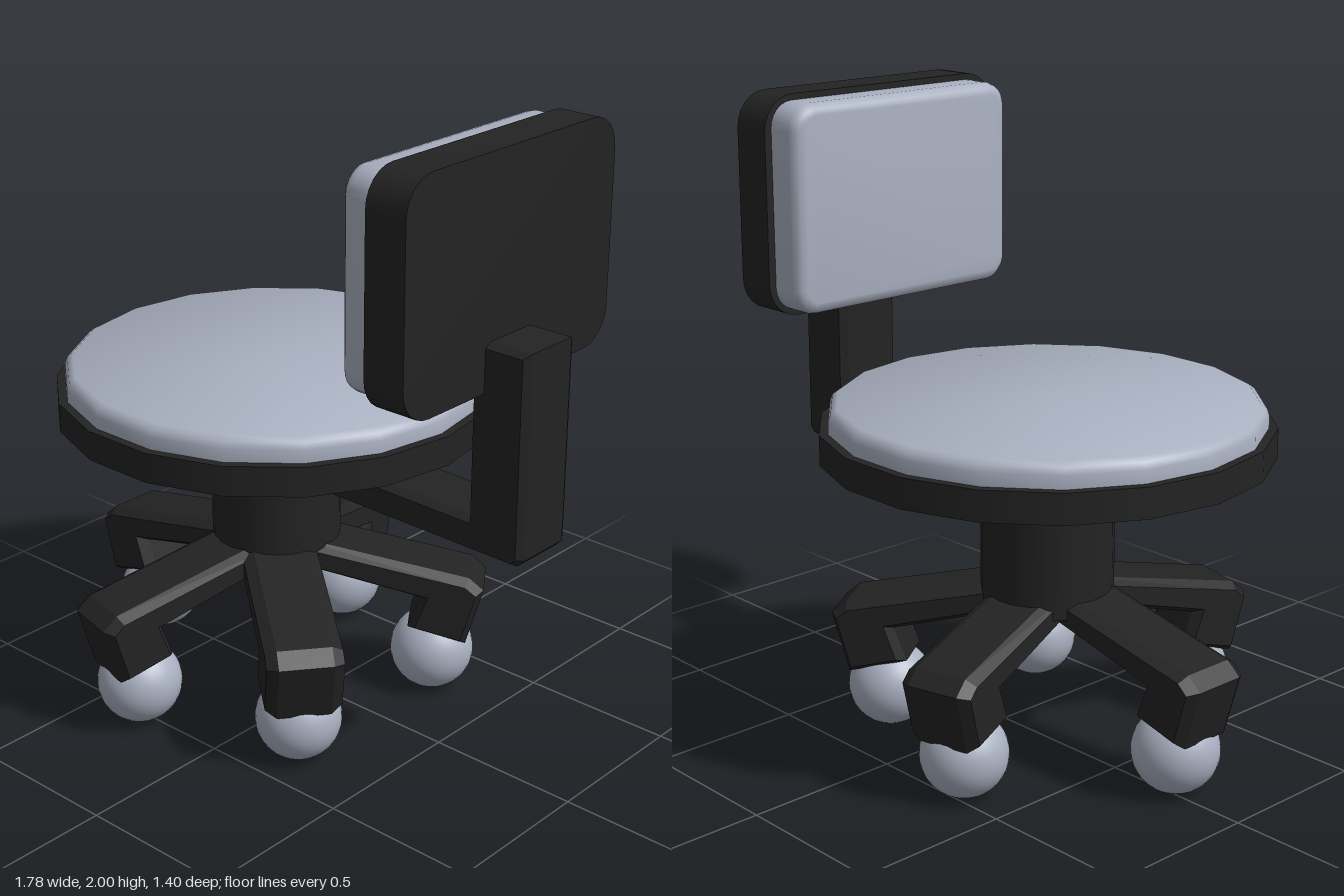
import * as THREE from 'three';
import { toCreasedNormals } from 'three/addons/utils/BufferGeometryUtils.js';

const black = new THREE.MeshStandardMaterial({ color: 0x232323 });
black.name = 'black frame';
const grey = new THREE.MeshStandardMaterial({ color: 0xa9b0c0 });
grey.name = 'blue grey padding';

const SEAT_X = -0.195, SEAT_Z = -0.005, MID_Z = 0.025;

function addMesh(parent, name, geometry, material, x = 0, y = 0, z = 0) {
  const mesh = new THREE.Mesh(geometry, material);
  mesh.name = name;
  mesh.position.set(x, y, z);
  parent.add(mesh);
  return mesh;
}

// Extrude a side profile to a total width centred on z = 0, with bevelled edges
function profileBar(points, width, bevel) {
  const shape = new THREE.Shape(points.map(([x, y]) => new THREE.Vector2(x, y)));
  const geo = new THREE.ExtrudeGeometry(shape, {
    depth: width - 2 * bevel, bevelEnabled: true, bevelSegments: 1,
    bevelSize: bevel * 0.6, bevelOffset: -bevel * 0.6, bevelThickness: bevel,
  });
  return geo.translate(0, 0, bevel - width / 2);
}

// Rounded rectangle slab facing along x, from x = 0 to x = depth
function roundedSlab(width, height, depth, radius, bevel) {
  const w = width / 2, h = height / 2, r = radius;
  const s = new THREE.Shape();
  [[w - r, h - r, 0], [r - w, h - r, 1], [r - w, r - h, 2], [w - r, r - h, 3]].forEach(([x, y, q]) =>
    s.absarc(x, y, r, q * Math.PI / 2, (q + 1) * Math.PI / 2, false));
  const geo = new THREE.ExtrudeGeometry(s, {
    depth: depth - 2 * bevel, curveSegments: 3, bevelEnabled: bevel > 0, bevelSegments: 3,
    bevelSize: bevel, bevelOffset: -bevel, bevelThickness: bevel,
  });
  geo.translate(0, 0, bevel).rotateY(Math.PI / 2);
  return toCreasedNormals(geo, 0.7);
}

export function createModel() {
  const model = new THREE.Group();
  model.name = 'swivelChair';

  // Seat board and padded cushion, both eighteen sided
  const board = new THREE.CylinderGeometry(0.7, 0.7, 0.095, 18).rotateY(Math.PI / 18);
  addMesh(model, 'seatBoard', board, black, SEAT_X, 1.0075, SEAT_Z);
  const cushionProfile = [[0.672, 1.05], [0.672, 1.095], [0.664, 1.116], [0.645, 1.13], [0, 1.13]]
    .map(([x, y]) => new THREE.Vector2(x, y));
  const cushion = new THREE.LatheGeometry(cushionProfile, 18, Math.PI / 18);
  addMesh(model, 'seatCushion', toCreasedNormals(cushion, 0.7), grey, SEAT_X, 0, SEAT_Z);

  // Central column
  addMesh(model, 'column', new THREE.CylinderGeometry(0.208, 0.208, 0.48, 24), black, SEAT_X, 0.72, 0);

  // L-shaped arm carrying the backrest
  const arm = [[-0.1, 0.8], [0.86, 0.79], [0.885, 0.815], [0.885, 1.45], [0.69, 1.45], [0.69, 0.9], [-0.1, 0.91]];
  addMesh(model, 'backArm', profileBar(arm, 0.23, 0.025), black, 0, 0, MID_Z);

  // Backrest plate and cushion
  addMesh(model, 'backPlate', roundedSlab(0.94, 0.7, 0.14, 0.11, 0), black, 0.6, 1.65, MID_Z);
  addMesh(model, 'backCushion', roundedSlab(0.88, 0.66, 0.16, 0.08, 0.035), grey, 0.48, 1.65, 0.02);

  // Five bent legs, each ending on a ball castor
  const hubX = -0.19;
  const castors = [[-0.727, 0.024], [-0.315, 0.517], [-0.315, -0.459], [0.214, 0.342], [0.24, -0.278]];
  for (const [x, z] of castors) {
    const dx = x - hubX, dz = z - MID_Z, d = Math.hypot(dx, dz);
    const profile = [
      [0, 0.48], [d - 0.035, 0.36], [d - 0.075, 0.25], [d + 0.113, 0.2],
      [d + 0.168, 0.395], [d + 0.12, 0.437], [0, 0.57],
    ];
    const leg = addMesh(model, 'leg', profileBar(profile, 0.24, 0.035), black, hubX, 0, MID_Z);
    leg.rotation.y = Math.atan2(-dz, dx);
    addMesh(model, 'castor', new THREE.SphereGeometry(0.136, 32, 20), grey, x, 0.137, z);
  }
  return model;
}
